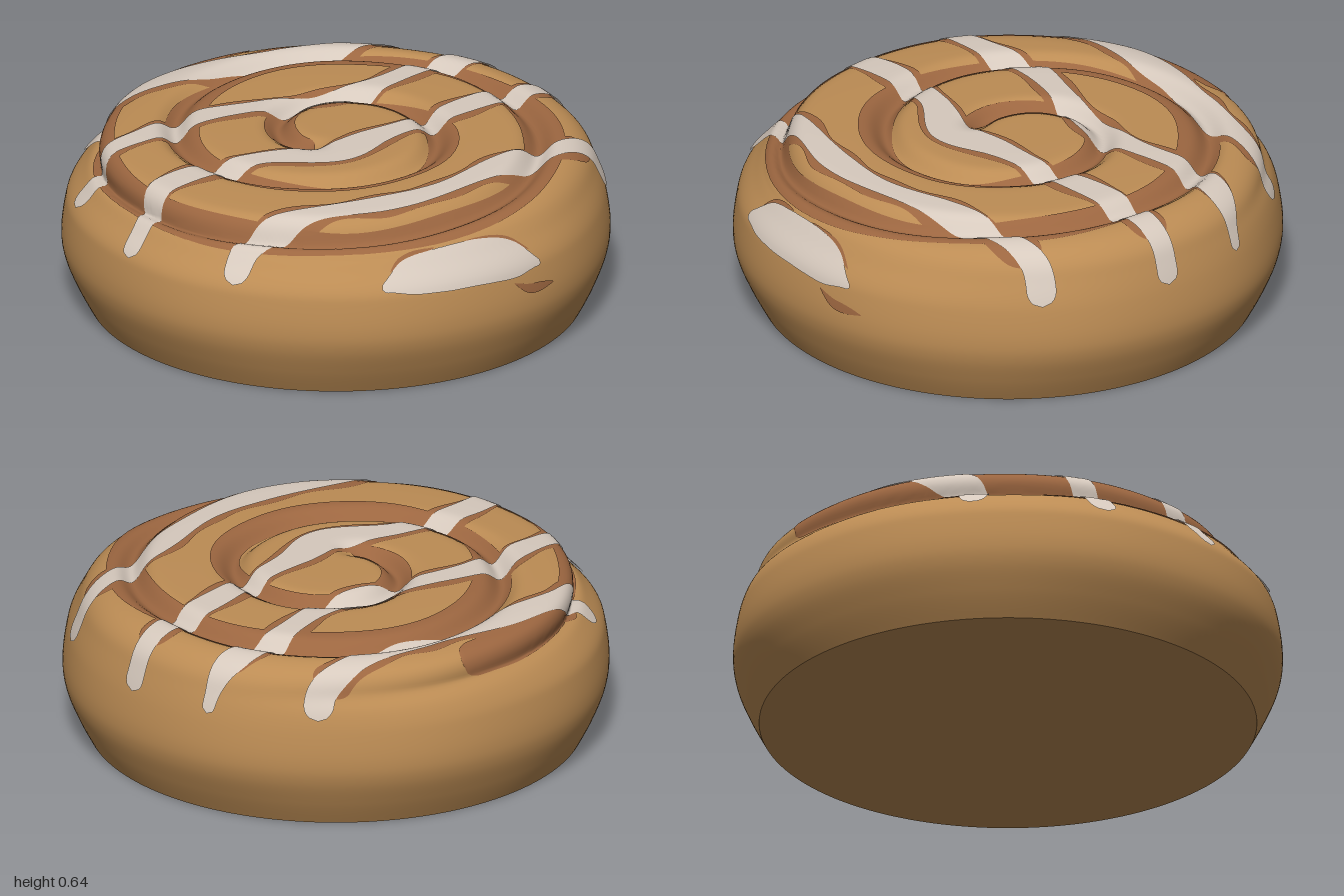
import * as THREE from 'three';

const { smoothstep, clamp, lerp } = THREE.MathUtils;
const mat = (name, color, side = THREE.FrontSide) => {
  const m = new THREE.MeshStandardMaterial({ color, side });
  m.name = name;
  return m;
};
const curve2 = (pts) => new THREE.SplineCurve(pts.map(([x, y]) => new THREE.Vector2(x, y)));

// Bun profile from the top centre, over the rim and down to the base (radius, height)
const profile = curve2([
  [0, 0.63], [0.2, 0.63], [0.4, 0.628], [0.58, 0.625], [0.72, 0.62], [0.81, 0.612], [0.88, 0.59],
  [0.93, 0.545], [0.957, 0.48], [0.985, 0.38], [1, 0.27], [0.99, 0.19], [0.95, 0.095], [0.9, 0],
]);
const LENGTH = profile.getLength();
const STEPS = 400;
const table = profile.getSpacedPoints(STEPS);

// Radius of the rolled seam, every quarter turn; turns start at the left of the top
const seamKnots = [0.12, 0.19, 0.335, 0.365, 0.43, 0.575, 0.73, 0.735, 0.82, 0.905, 0.97, 1.02];
const seamCurve = curve2(seamKnots.map((r, i) => [i, r]));
const seam = (t) => seamCurve.getPoint(clamp((t + 0.25) * 4 / (seamKnots.length - 1), 0, 1)).y;

// Seam groove, and the outermost layer sinking towards its loose end
function relief(u, turn) {
  let h = 0;
  for (let k = -1; k < 3; k++) {
    const t = turn + k;
    const fade = smoothstep(t, -0.25, -0.05) * (1 - smoothstep(t, 2.05, 2.4));
    if (fade === 0) continue;
    const d = u - seam(t);
    h -= 0.05 * fade * Math.exp(-((d / 0.045) ** 2));
    const sink = 0.055 * smoothstep(t, 1.4, 1.8) * (1 - smoothstep(t, 2.0, 2.35));
    h -= sink * smoothstep(d, -0.03, 0.04) * (1 - smoothstep(u, 0.95, 1.12));
  }
  return h;
}

// Wraps a flat point (x, z) onto the bun; distance from the centre runs along the profile
function onBun(x, z, lift = 0) {
  const u = Math.min(Math.hypot(x, z), LENGTH);
  const a = Math.atan2(z, x);
  const f = u / LENGTH * STEPS;
  const i = Math.min(Math.floor(f), STEPS - 1);
  const p = table[i], q = table[i + 1];
  const dr = q.x - p.x, dy = q.y - p.y, len = Math.hypot(dr, dy);
  const h = relief(u, (a + Math.PI) / (2 * Math.PI)) + lift;
  const wobble = 1 - 0.006 * (1 + Math.sin(3 * a + 1) * Math.sin(5 * a)) * (1 - smoothstep(u, LENGTH - 0.3, LENGTH));
  const r = (lerp(p.x, q.x, f - i) - dy / len * h) * wobble;
  const y = lerp(p.y, q.y, f - i) + dr / len * h;
  return [r * Math.cos(a), y, r * Math.sin(a)];
}

function meshFrom(name, pos, index, material) {
  const g = new THREE.BufferGeometry();
  g.setAttribute('position', new THREE.Float32BufferAttribute(pos, 3));
  g.setIndex(index);
  g.computeVertexNormals();
  const m = new THREE.Mesh(g, material);
  m.name = name;
  return m;
}

function makeBun(material) {
  const rings = 135, segs = 200, pos = [], index = [];
  for (let i = 0; i <= rings; i++) {
    const u = Math.max(0.001, i / rings * LENGTH);
    for (let j = 0; j < segs; j++) {
      const a = j / segs * Math.PI * 2;
      pos.push(...onBun(u * Math.cos(a), u * Math.sin(a)));
      if (i === rings) continue;
      const b = i * segs + j, c = i * segs + (j + 1) % segs;
      index.push(b, c, b + segs, c, c + segs, b + segs);
    }
  }
  return meshFrom('bun', pos, index, material);
}

// A ribbon with rounded ends laid over the bun along a flat path
function ribbon(name, path, width, lift, material, n = 150, cross = 10) {
  const pos = [], index = [], total = path.getLength();
  for (let i = 0; i <= n; i++) {
    const s = i / n, p = path.getPointAt(s), t = path.getTangentAt(s);
    const w = width(s) / 2;
    const e = Math.min(1, Math.min(s, 1 - s) * total / Math.max(w, 0.001));
    const half = w * Math.sqrt(Math.max(0.0004, 1 - (1 - e) ** 2));
    for (let j = 0; j <= cross; j++) {
      const k = (j / cross * 2 - 1) * half;
      pos.push(...onBun(p.x - t.y * k, p.y + t.x * k, lift));
      if (i === n || j === cross) continue;
      const b = i * (cross + 1) + j, c = b + cross + 1;
      index.push(b, b + 1, c, b + 1, c + 1, c);
    }
  }
  return meshFrom(name, pos, index, material);
}

// Icing stripes as flat paths; the first and last points hang over the rim as drips
const stripes = [
  [[-0.99, -0.37], [-0.88, -0.33], [-0.72, -0.45], [-0.4, -0.65], [-0.18, -0.72], [-0.02, -0.77], [0.17, -0.87], [0.27, -0.94], [0.31, -1.03]],
  [[-1.06, 0.19], [-0.92, 0.13], [-0.72, 0], [-0.5, -0.16], [-0.26, -0.24], [-0.02, -0.31], [0.17, -0.42], [0.38, -0.61], [0.59, -0.72], [0.72, -0.82]],
  [[-0.88, 0.66], [-0.76, 0.54], [-0.56, 0.36], [-0.29, 0.235], [-0.02, 0.2], [0.14, 0.06], [0.35, -0.1], [0.57, -0.28], [0.82, -0.44], [0.97, -0.52]],
  [[-0.47, 0.98], [-0.38, 0.85], [-0.18, 0.74], [0.14, 0.65], [0.35, 0.54], [0.57, 0.33], [0.75, 0.17], [0.94, 0.04], [1.1, 0.02]],
];

export function createModel() {
  const dough = mat('baked dough', 0xbc8c54);
  const cinnamon = mat('cinnamon', 0x9c6640, THREE.DoubleSide);
  const icing = mat('icing', 0xd6c9bd, THREE.DoubleSide);
  const model = new THREE.Group();
  model.name = 'cinnamonRoll';

  model.add(makeBun(dough));
  const base = new THREE.Mesh(new THREE.CircleGeometry(0.9, 200).rotateX(Math.PI / 2), dough);
  base.name = 'base';
  model.add(base);

  // Cinnamon filling showing along the seam
  const seamPath = [];
  for (let t = -0.15; t <= 2.2; t += 0.05) {
    const a = t * 2 * Math.PI;
    const r = seam(t) - (0.045 * Math.sin(a) + 0.02 * Math.cos(a)) * smoothstep(t, -0.1, 0.6);
    seamPath.push([-r * Math.cos(a), -r * Math.sin(a)]);
  }
  model.add(ribbon('cinnamonFilling', curve2(seamPath),
    (s) => 0.1 + 0.045 * smoothstep(s, 0.1, 0.5) + 0.015 * Math.sin(s * 60), 0.004, cinnamon, 500, 14));

  // Icing stripes, each on a slightly wider cinnamon glaze
  stripes.forEach((pts, i) => {
    const width = (s) => 0.105 + 0.014 * Math.sin(s * 21 + i * 2)
      + (i === 2 ? 0.05 * Math.exp(-(((s - 0.45) / 0.09) ** 2)) : 0)
      - (i === 1 ? 0.04 * smoothstep(s, 0.88, 0.97) : 0);
    model.add(ribbon(`icingStripe${i + 1}`, curve2(pts), width, 0.008, icing));
    model.add(ribbon(`glazeEdge${i + 1}`, curve2(pts.slice(1, -1)),
      (s) => width(s) + 0.045 + 0.015 * Math.sin(s * 33 + i), 0.0035, cinnamon));
  });

  // Broad run of icing on the front side; points are (angle from front, profile distance)
  const around = (pts) => curve2(pts.map(([a, u]) => [u * Math.sin(a), u * Math.cos(a)]));
  const runWidth = curve2([[0, 0.03], [1, 0.13], [2, 0.165], [3, 0.175], [4, 0.17], [5, 0.13], [6, 0.02]]);
  model.add(ribbon('icingRun', around([[0.12, 1.08], [0.25, 1.04], [0.4, 1.03], [0.55, 1.035], [0.67, 1.06], [0.8, 1.11]]),
    (s) => runWidth.getPoint(s).y, 0.008, icing, 80));

  // Thin cinnamon streaks beside the run
  [[[0.16, 1.02], [0.24, 0.965], [0.36, 0.94]], [[0.5, 0.94], [0.66, 0.98], [0.77, 1.05]], [[0.66, 1.15], [0.74, 1.19], [0.86, 1.2]]]
    .forEach((pts, i) => model.add(ribbon(`cinnamonStreak${i + 1}`, around(pts),
      (s) => 0.035 * Math.sin(Math.PI * s) + 0.002, 0.004, cinnamon, 30, 4)));

  return model;
}
